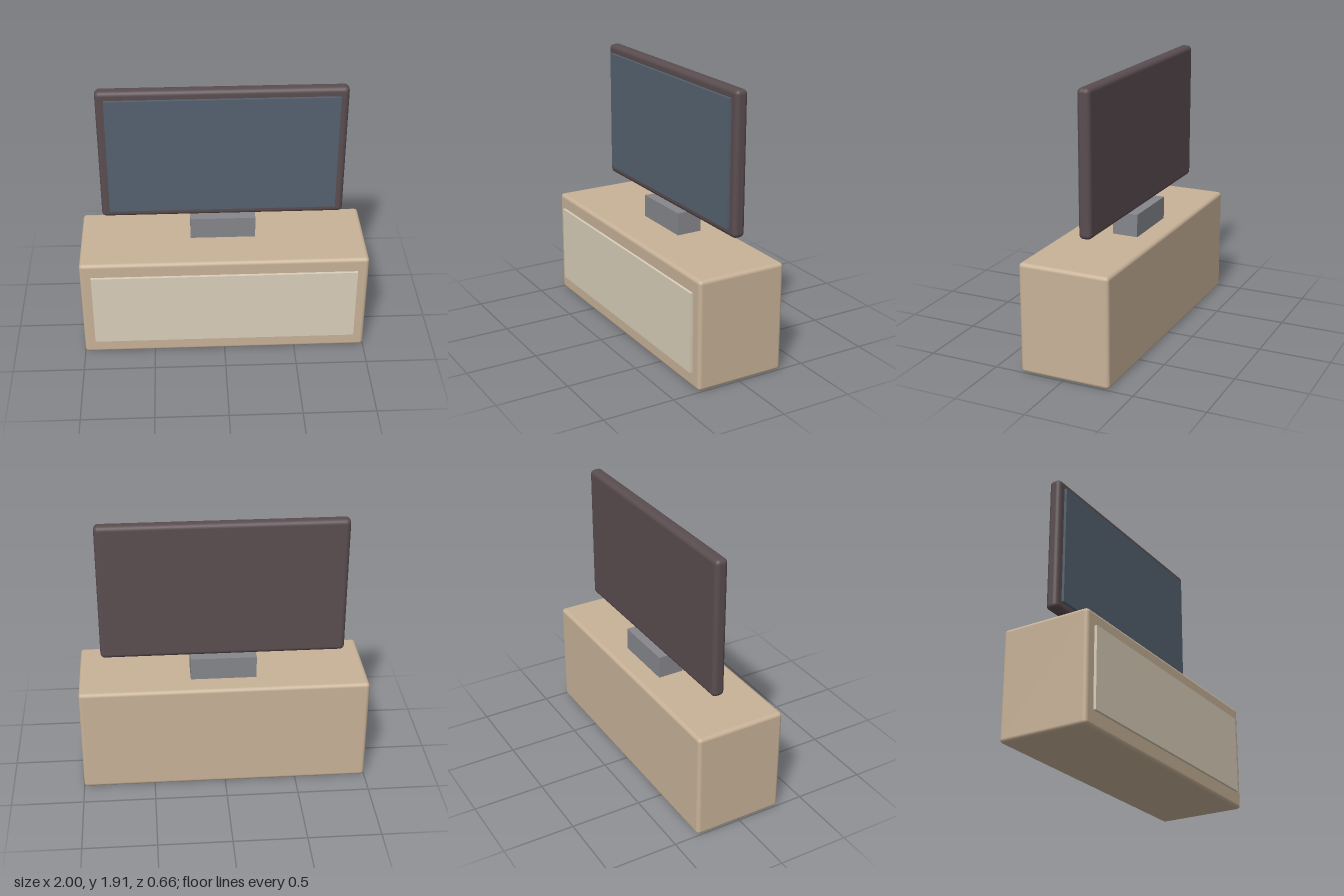
import * as THREE from 'three';
import { RoundedBoxGeometry } from 'three/addons/geometries/RoundedBoxGeometry.js';

// Box given by its half width and its y and z ranges; a radius rounds the edges.
function block(name, color, halfW, [y0, y1], [z0, z1], radius = 0) {
  const size = [halfW * 2, y1 - y0, z1 - z0];
  const geometry = radius
    ? new RoundedBoxGeometry(...size, 3, radius)
    : new THREE.BoxGeometry(...size);
  const mesh = new THREE.Mesh(geometry, new THREE.MeshStandardMaterial({ color }));
  mesh.name = name;
  mesh.position.set(0, (y0 + y1) / 2, (z0 + z1) / 2);
  return mesh;
}

export function createModel() {
  const model = new THREE.Group();
  model.name = 'televisionOnCabinet';

  // Low cabinet with a raised front panel
  const cabinet = new THREE.Group();
  cabinet.name = 'cabinet';
  cabinet.add(
    block('cabinetBody', 0xc8b298, 1, [0, 0.767], [-0.329, 0.312], 0.026),
    block('frontPanel', 0xdacfba, 0.922, [0.11, 0.666], [0.29, 0.331]),
  );

  // Television: foot, rounded casing and raised screen
  const television = new THREE.Group();
  television.name = 'television';
  television.add(
    block('stand', 0x86878c, 0.228, [0.75, 0.926], [-0.176, 0.007]),
    block('casing', 0x5a4d50, 0.843, [0.928, 1.908], [-0.13, -0.041], 0.032),
    block('screen', 0x566270, 0.785, [0.987, 1.849], [-0.07, -0.022]),
  );

  model.add(cabinet, television);
  return model;
}
